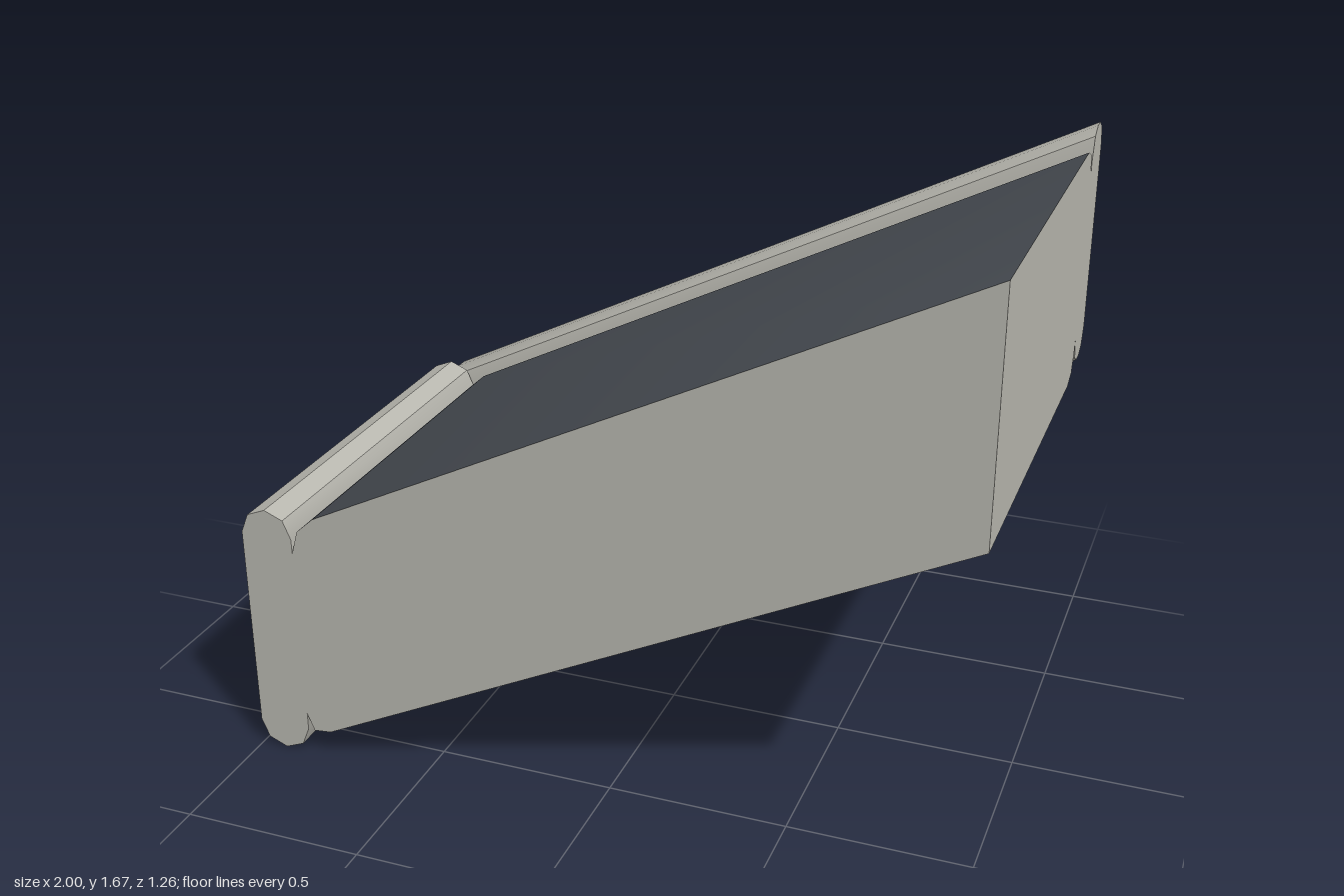
import * as THREE from 'three';
import { toCreasedNormals } from 'three/addons/utils/BufferGeometryUtils.js';

const R = 0.07; // edge rounding

// Skin a stack of convex rings (counter-clockwise seen from the stack's end) and cap both ends.
// pick(band, side) gives a material index; band is 'start' or 'end' for the caps.
function loft(rings, pick = () => 0) {
  const lists = [[], []];
  const tri = (m, a, b, c) => {
    if (new THREE.Triangle(a, b, c).getArea() < 1e-7) return;
    for (const p of [a, b, c]) lists[m].push(p.x, p.y, p.z);
  };
  const n = rings[0].length;
  for (let i = 0; i < rings.length - 1; i++) {
    for (let j = 0; j < n; j++) {
      const k = (j + 1) % n, lo = rings[i], hi = rings[i + 1], m = pick(i, j);
      tri(m, lo[j], lo[k], hi[k]);
      tri(m, lo[j], hi[k], hi[j]);
    }
  }
  const first = rings[0], last = rings[rings.length - 1];
  for (let j = 1; j < n - 1; j++) {
    tri(pick('start', j), first[0], first[j + 1], first[j]);
    tri(pick('end', j), last[0], last[j], last[j + 1]);
  }
  const geo = new THREE.BufferGeometry();
  geo.setAttribute('position', new THREE.Float32BufferAttribute([...lists[0], ...lists[1]], 3));
  geo.addGroup(0, lists[0].length / 3, 0);
  if (lists[1].length) geo.addGroup(lists[0].length / 3, lists[1].length / 3, 1);
  return toCreasedNormals(geo, 0.6);
}

// Points of a quarter arc as [u, v] pairs.
function arc(cu, cv, r, start) {
  return [0, 1, 2].map((i) => {
    const a = start + (i * Math.PI) / 4;
    return [cu + r * Math.cos(a), cv + r * Math.sin(a)];
  });
}

export function createModel() {
  const group = new THREE.Group();
  const grey = new THREE.MeshStandardMaterial({ color: 0xb9b8b0 });
  grey.name = 'warm grey';
  const slate = new THREE.MeshStandardMaterial({ color: 0x4b5057 });
  slate.name = 'dark slate';
  const add = (name, geo) => {
    const mesh = new THREE.Mesh(geo, [grey, slate]);
    mesh.name = name;
    group.add(mesh);
  };

  // Sloping body: flat front and right end, rounded along the back and left edges
  const levels = [[0, R], [0.02, 0.02], [0.08, 0], [0.58, 0], [0.64, 0.02], [0.66, R]];
  const bodyRings = levels.map(([h, inset]) => {
    const back = 0.48 - inset, left = -0.85 + inset;
    const plan = [[1, -0.63], [1, back], ...arc(-0.85 + R, 0.48 - R, R - inset, Math.PI / 2), [left, -0.63]];
    return plan.map(([x, w]) => new THREE.Vector3(x, h + 0.47 + 0.5 * x, -w));
  });
  // Slate covers the top and the bevel next to it
  const bodyColour = (band, side) => (band === 'end' || (band === 4 && side > 0 && side < 5) ? 1 : 0);
  add('body', loft(bodyRings, bodyColour));

  // Sloping back panel with a pillowed rim on the top, bottom and left end
  const layers = [[-0.63, R], [-0.61, 0.02], [-0.575, 0], [-0.535, 0], [-0.5, 0.02], [-0.48, 0.08]];
  const panelRings = layers.map(([z, inset]) => {
    const r = Math.max(R - inset, 0);
    const left = -1 + inset, low = 0.5 + inset, high = 1.17 - inset;
    const outline = [
      [1, low], [1, high],
      ...arc(left + r, high - r, r, Math.PI / 2),
      ...arc(left + r, low + r, r, Math.PI),
    ];
    return outline.map(([x, v]) => new THREE.Vector3(x, v + 0.5 * x, z));
  });
  add('backPanel', loft(panelRings));

  // Upright left panel with rounded top and bottom edges
  const c = -0.925, h = 0.075;
  const profile = [
    ...arc(c, 0.742 - h, h, 0), ...arc(c, 0.742 - h, h, Math.PI / 2).slice(1),
    ...arc(c, h, h, Math.PI), ...arc(c, h, h, Math.PI * 1.5).slice(1),
  ];
  add('leftPanel', loft([-0.48, 0.63].map((z) => profile.map(([x, y]) => new THREE.Vector3(x, y, z)))));

  return group;
}
